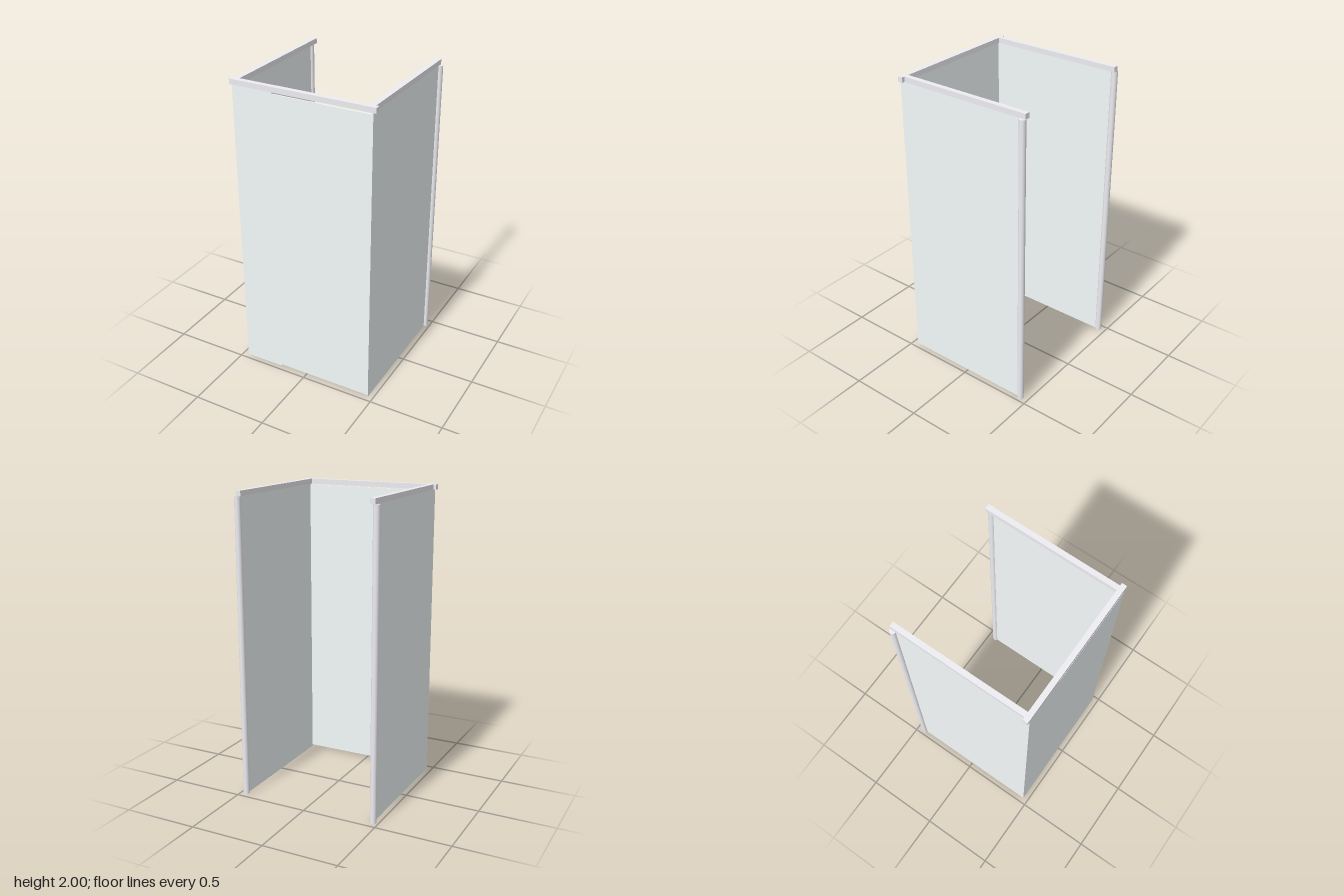
import * as THREE from 'three';

const glassMaterial = new THREE.MeshStandardMaterial({ color: 0xf4f9fa });
const frameMaterial = new THREE.MeshStandardMaterial({ color: 0xededf2 });

// Box given by its extents on each axis
function box(name, material, [x0, x1], [y0, y1], [z0, z1]) {
  const mesh = new THREE.Mesh(new THREE.BoxGeometry(x1 - x0, y1 - y0, z1 - z0), material);
  mesh.name = name;
  mesh.position.set((x0 + x1) / 2, (y0 + y1) / 2, (z0 + z1) / 2);
  return mesh;
}

export function createModel() {
  const group = new THREE.Group();
  group.name = 'showerEnclosure';

  const outer = 0.464;            // outer face of panels and rails
  const rail = 0.034;             // rail section
  const glass = 0.008;            // panel thickness
  const top = 2, railBottom = top - rail;
  const inner = outer - glass;
  const doorEdge = -0.187, gapTop = 0.009, gapBottom = 0.012;

  // Front: rail, fixed panel, and a door with a gap above and below
  group.add(box('frontRail', frameMaterial, [-0.483, 0.483], [railBottom, top], [outer - rail, outer]));
  group.add(box('fixedFrontPanel', glassMaterial, [-inner, doorEdge], [0, railBottom], [inner, outer]));
  group.add(box('doorPanel', glassMaterial, [doorEdge, inner], [gapBottom, railBottom - gapTop], [inner, outer]));

  // Sides: rail, panel and round rear post, mirrored
  for (const [side, s] of [['left', 1], ['right', -1]]) {
    const span = (a, b) => (s > 0 ? [a, b] : [-b, -a]);
    group.add(box(side + 'Rail', frameMaterial, span(outer - rail, outer), [railBottom, top], [-outer, outer - rail]));
    group.add(box(side + 'Panel', glassMaterial, span(inner, outer), [0, railBottom], [-outer, outer]));

    const post = new THREE.Mesh(new THREE.CylinderGeometry(0.021, 0.021, railBottom, 32), frameMaterial);
    post.name = side + 'Post';
    post.position.set(s * outer, railBottom / 2, -0.445);
    group.add(post);
  }
  return group;
}
